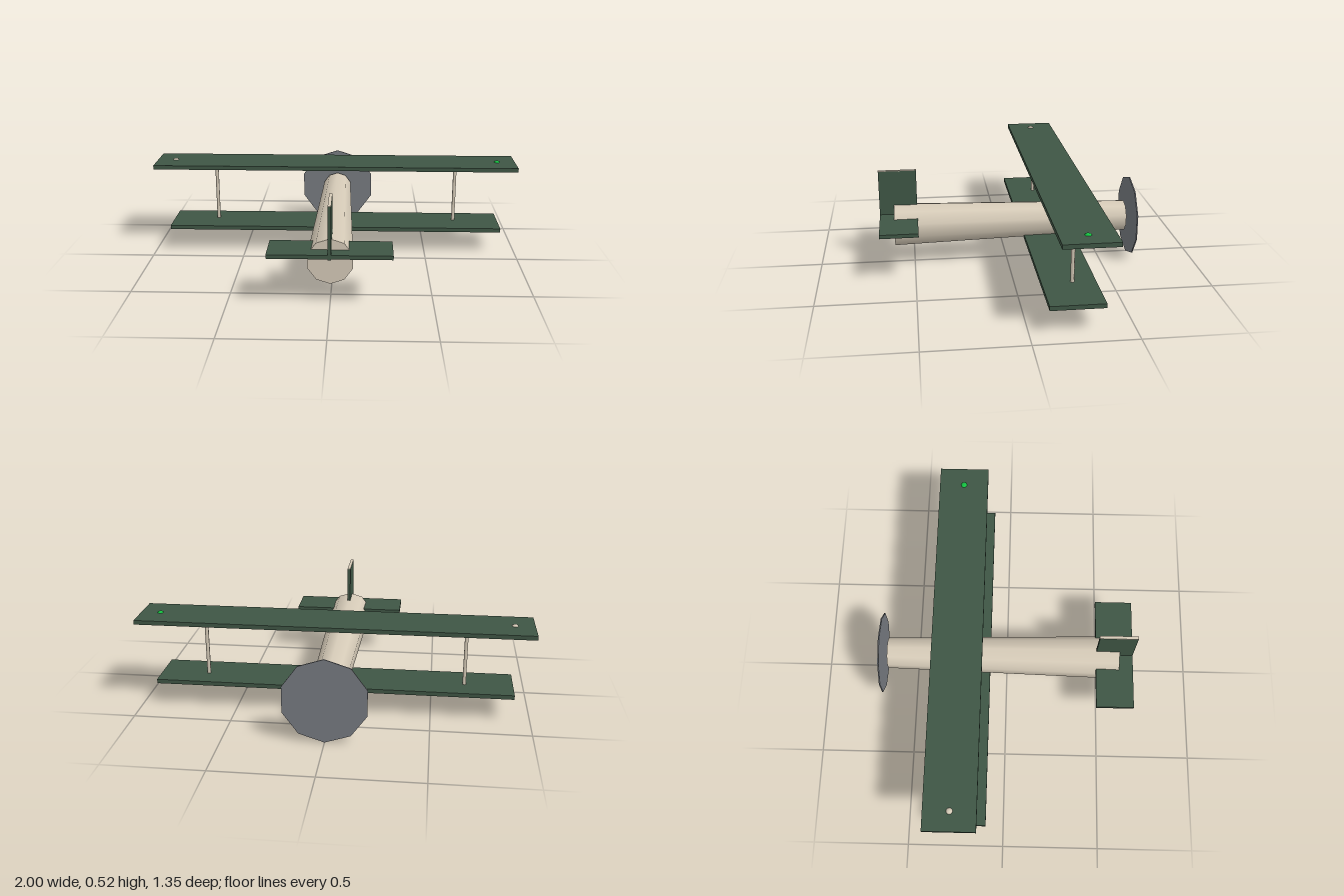
import * as THREE from 'three';

const paint = (name, color) => {
  const m = new THREE.MeshStandardMaterial({ color });
  m.name = name;
  return m;
};

export function createModel() {
  const green = paint('dark green', 0x3f5645);
  const cream = paint('cream', 0xd6cbb8);
  const grey = paint('propeller grey', 0x777b81);
  const lamp = paint('lamp green', 0x14c040);

  const model = new THREE.Group();
  model.name = 'biplane';
  const add = (name, geometry, material, x, y, z) => {
    const mesh = new THREE.Mesh(geometry, material);
    mesh.name = name;
    mesh.position.set(x, y, z);
    model.add(mesh);
    return mesh;
  };
  const box = (w, h, d) => new THREE.BoxGeometry(w, h, d);

  // Ten-sided tapered body and thin propeller disc, both along z
  const body = new THREE.CylinderGeometry(0.115, 0.083, 1.247, 10).rotateX(Math.PI / 2);
  add('fuselage', body, cream, 0, 0.218, -0.022);
  const disc = new THREE.CylinderGeometry(0.216, 0.216, 0.006, 10).rotateX(Math.PI / 2);
  add('propellerDisc', disc, grey, 0, 0.219, -0.673);

  // Wings
  add('upperWing', box(2, 0.022, 0.265), green, 0, 0.471, -0.258);
  add('lowerWing', box(1.83, 0.022, 0.265), green, 0, 0.136, -0.223);

  // Struts and wing tip lamps
  for (const side of [1, -1]) {
    const label = side > 0 ? 'left' : 'right';
    const strut = new THREE.CylinderGeometry(0.01, 0.01, 0.313, 6);
    add(label + 'Strut', strut, cream, side * 0.667, 0.3035, -0.24);
    const light = new THREE.SphereGeometry(0.02, 12, 8);
    add(label + 'TipLamp', light, side > 0 ? lamp : cream, side * 0.9, 0.471, -0.258);
  }

  // Tail surfaces, with a cream cap on the fin
  add('tailplane', box(0.6, 0.02, 0.198), green, 0, 0.268, 0.577);
  add('fin', box(0.016, 0.265, 0.198), green, 0, 0.3845, 0.577);
  add('finCap', box(0.016, 0.003, 0.198), cream, 0, 0.5185, 0.577);

  return model;
}
